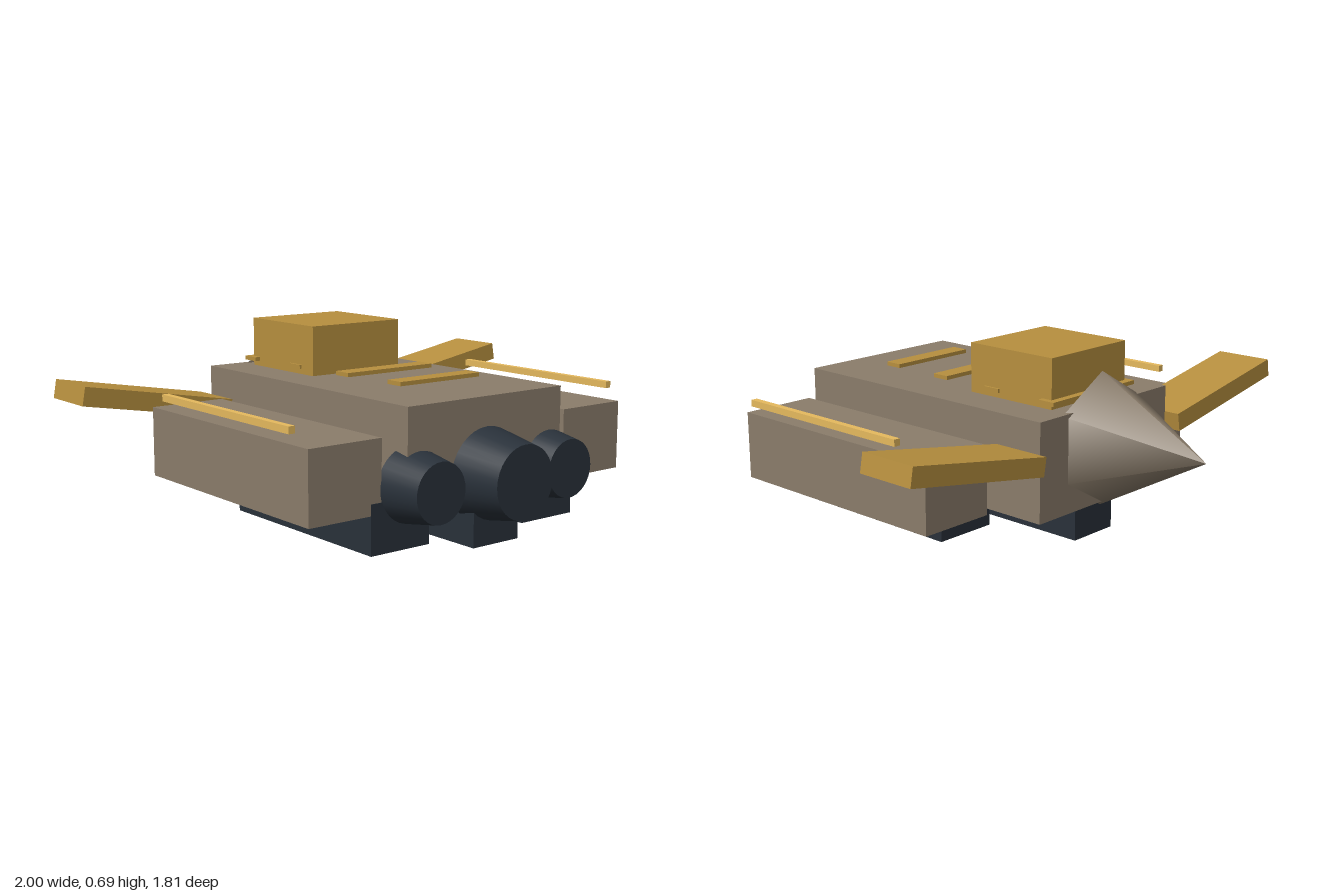
import * as THREE from 'three';

const material = (color) => new THREE.MeshStandardMaterial({ color });

export function createModel() {
  const model = new THREE.Group();
  const hullMat = material(0x8b7d6b);
  const goldMat = material(0xb8903f);
  const railMat = material(0xe6ba5e);
  const darkMat = material(0x29313a);

  const add = (name, geometry, mat, x, y, z) => {
    const mesh = new THREE.Mesh(geometry, mat);
    mesh.name = name;
    mesh.position.set(x, y, z);
    model.add(mesh);
    return mesh;
  };

  // Box given by its limits on each axis
  const box = (name, mat, [x0, x1], [y0, y1], [z0, z1]) =>
    add(name, new THREE.BoxGeometry(x1 - x0, y1 - y0, z1 - z0), mat,
      (x0 + x1) / 2, (y0 + y1) / 2, (z0 + z1) / 2);

  // Box mirrored to both sides
  const boxPair = (name, mat, [x0, x1], ys, zs) => {
    box(name + 'Left', mat, [x0, x1], ys, zs);
    box(name + 'Right', mat, [-x1, -x0], ys, zs);
  };

  // Tapered thruster, narrowing towards +z
  const engine = (name, x, y, z0, z1, rBase, rTip) => {
    const geometry = new THREE.CylinderGeometry(rTip, rBase, z1 - z0, 32);
    geometry.rotateX(Math.PI / 2);
    add(name, geometry, darkMat, x, y, (z0 + z1) / 2);
  };

  // Main body and side pods
  box('hull', hullMat, [-0.355, 0.355], [0.14, 0.505], [-0.47, 0.72]);
  boxPair('sidePod', hullMat, [0.425, 0.72], [0.15, 0.405], [-0.287, 0.673]);

  // Six-sided nose cone pointing to -z
  const nose = new THREE.ConeGeometry(0.25, 0.455, 6);
  nose.rotateX(-Math.PI / 2);
  add('noseCone', nose, hullMat, 0, 0.37, -0.677);

  // Cabin and the slats along the roof
  box('cabin', goldMat, [-0.205, 0.205], [0.5, 0.69], [-0.39, 0]);
  for (let i = 0; i < 4; i++) {
    const half = 0.228 - i * 0.0145;
    const z = -0.383 + i * 0.276;
    box('roofSlat' + (i + 1), goldMat, [-half, half], [0.525, 0.54], [z - 0.035, z + 0.035]);
  }

  // Raised wings and rails
  for (const side of [1, -1]) {
    const suffix = side > 0 ? 'Left' : 'Right';
    const wing = add('wing' + suffix, new THREE.BoxGeometry(0.622, 0.07, 0.23), goldMat,
      side * 0.688, 0.418, -0.402);
    wing.rotation.z = side * THREE.MathUtils.degToRad(10);
  }
  boxPair('rail', railMat, [0.722, 0.747], [0.445, 0.47], [-0.17, 0.608]);

  // Skids under the body
  box('centreSkid', darkMat, [-0.104, 0.104], [0, 0.17], [-0.42, 0.77]);
  boxPair('sideSkid', darkMat, [0.22, 0.47], [0.015, 0.19], [-0.103, 0.675]);

  // Thrusters
  engine('centreEngine', 0, 0.237, 0.7, 0.905, 0.167, 0.13);
  engine('engineLeft', 0.3, 0.23, 0.66, 0.825, 0.133, 0.105);
  engine('engineRight', -0.3, 0.23, 0.66, 0.825, 0.133, 0.105);

  return model;
}
